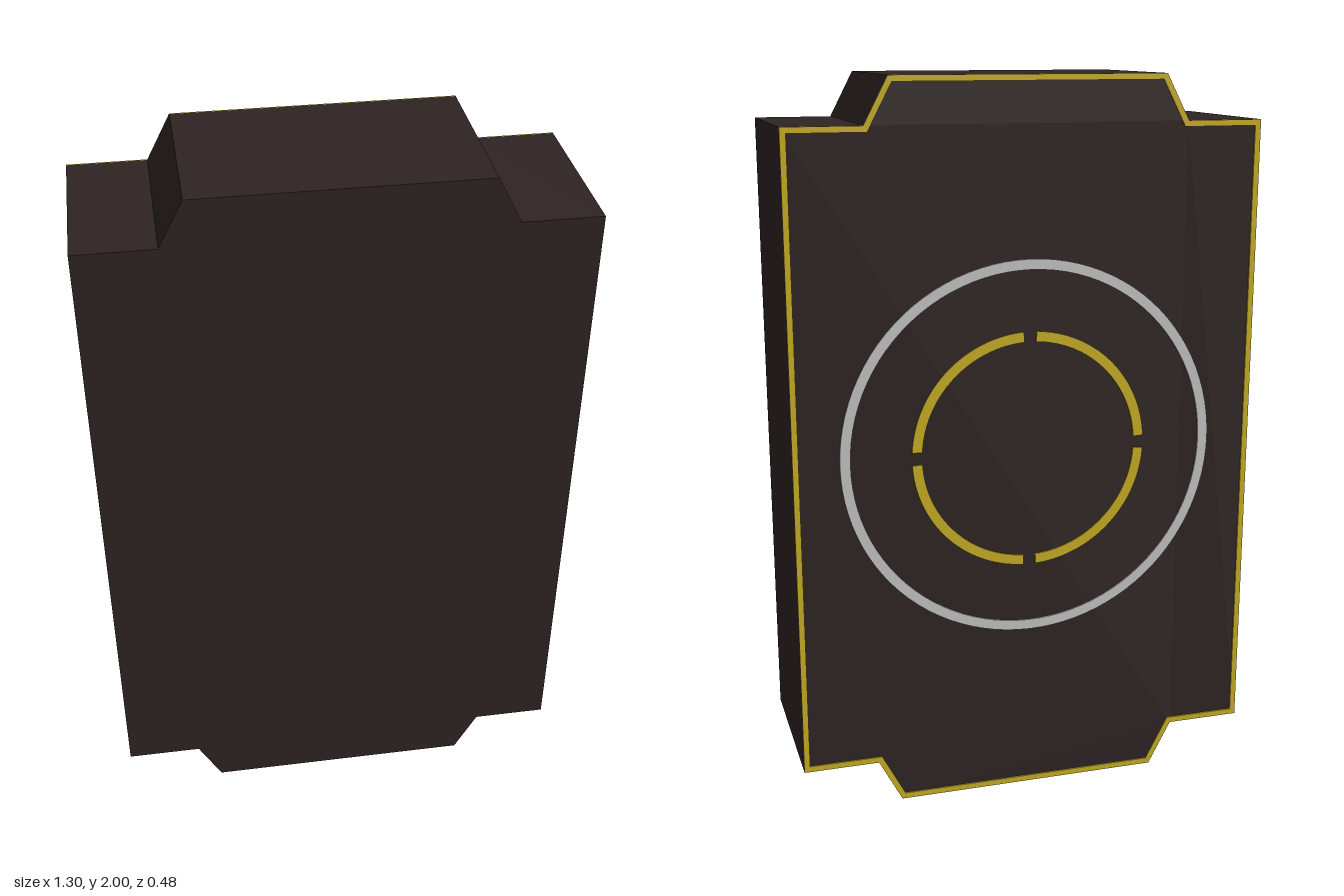
import * as THREE from 'three';

const BACK = -0.24, PLATE = 0.004, DEPTH = 0.48;

// Notched plate outline, inset by w, centred on the origin (counter-clockwise)
function outline(w) {
  const corner = [
    [0.65 - w, 0.877 - w],
    [0.44 - 0.607 * w, 0.877 - w],
    [0.375 - 0.607 * w, 1 - w],
  ];
  const flipped = [...corner].reverse();
  return [
    ...corner,
    ...flipped.map(([x, y]) => [-x, y]),
    ...corner.map(([x, y]) => [-x, -y]),
    ...flipped.map(([x, y]) => [x, -y]),
  ].map(([x, y]) => new THREE.Vector2(x, y));
}

// Arc band between two radii
function arcBand(inner, outer, start, end) {
  const shape = new THREE.Shape();
  shape.absarc(0, 0, outer, start, end, false);
  shape.absarc(0, 0, inner, end, start, true);
  return shape;
}

export function createModel() {
  const group = new THREE.Group();
  const dark = new THREE.MeshStandardMaterial({ color: 0x2e2423 });
  dark.name = 'darkBrown';
  const gold = new THREE.MeshStandardMaterial({ color: 0xc6ac22 });
  gold.name = 'gold';
  const silver = new THREE.MeshStandardMaterial({ color: 0xc2c2c2 });
  silver.name = 'silver';

  const add = (name, shape, depth, z, material) => {
    const geometry = new THREE.ExtrudeGeometry(shape, { depth, bevelEnabled: false, curveSegments: 48 });
    const mesh = new THREE.Mesh(geometry, material);
    mesh.name = name;
    mesh.position.set(0, 1, z);
    group.add(mesh);
  };

  // Solid notched block
  add('body', new THREE.Shape(outline(0)), DEPTH - PLATE, BACK + PLATE, dark);

  // Thin trim following the edge of the back face
  const trim = new THREE.Shape(outline(0));
  trim.holes.push(new THREE.Path(outline(0.016).reverse()));
  add('backTrim', trim, PLATE, BACK, gold);

  // Outer ring on the back
  const ring = new THREE.Shape();
  ring.absarc(0, 0, 0.525, 0, Math.PI * 2, false);
  const hole = new THREE.Path();
  hole.absarc(0, 0, 0.497, 0, Math.PI * 2, true);
  ring.holes.push(hole);
  add('outerRing', ring, PLATE, BACK, silver);

  // Inner ring split into four arcs
  const gap = 0.055;
  for (let i = 0; i < 4; i++) {
    const start = i * Math.PI / 2;
    add(`innerArc${i + 1}`, arcBand(0.302, 0.33, start + gap, start + Math.PI / 2 - gap), PLATE, BACK, gold);
  }
  return group;
}
